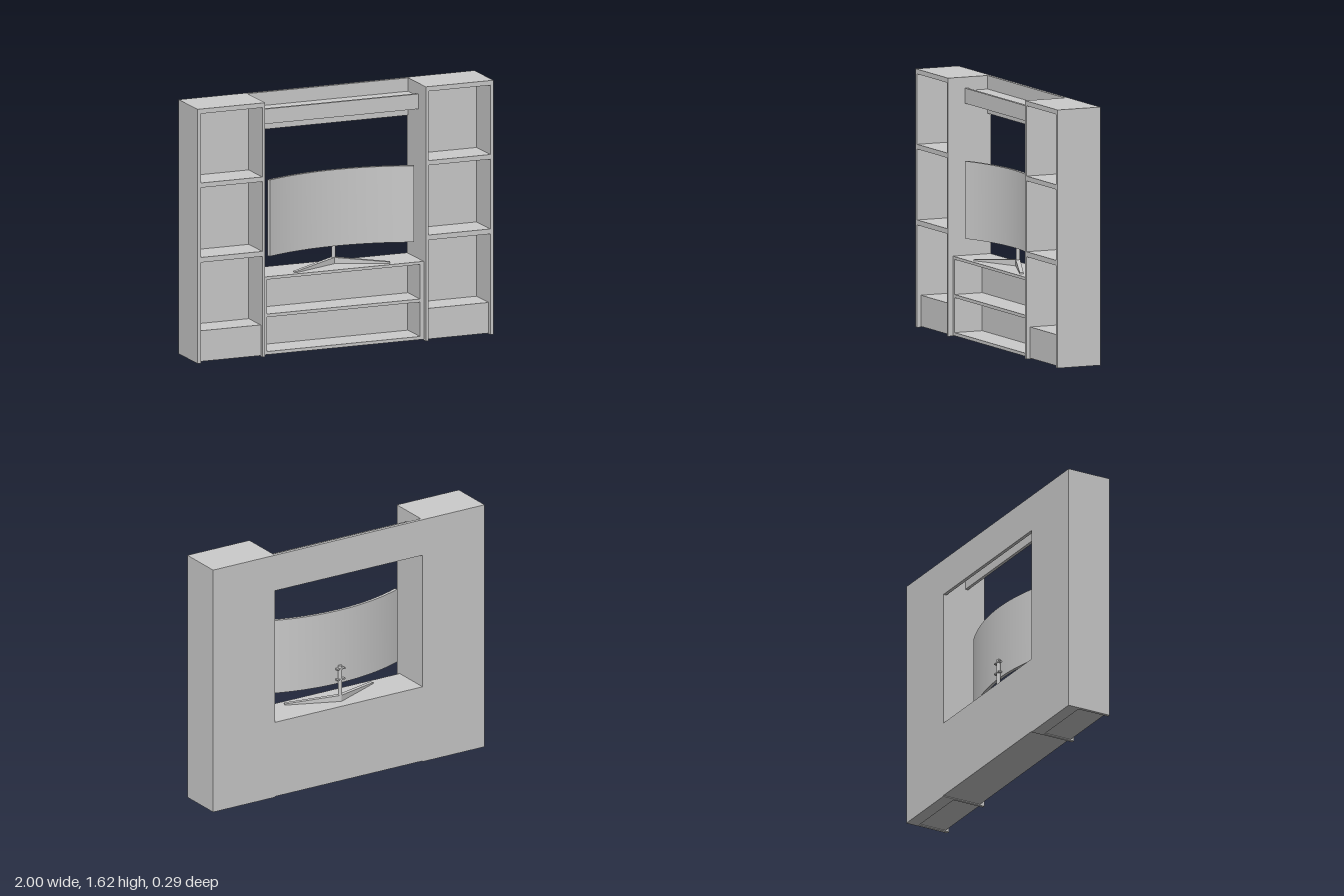
import * as THREE from 'three';
import { toCreasedNormals } from 'three/addons/utils/BufferGeometryUtils.js';

const material = new THREE.MeshStandardMaterial({ color: 0xcccccc });
const BACK = -0.147, FRONT = 0.147, HEIGHT = 1.615;

function add(parent, name, geometry) {
  const mesh = new THREE.Mesh(geometry, material);
  mesh.name = name;
  parent.add(mesh);
  return mesh;
}

// Box given by its limits on each axis
function board(parent, name, x0, x1, y0, y1, z0, z1) {
  const mesh = add(parent, name, new THREE.BoxGeometry(x1 - x0, y1 - y0, z1 - z0));
  mesh.position.set((x0 + x1) / 2, (y0 + y1) / 2, (z0 + z1) / 2);
  return mesh;
}

// Open shelf tower; side is +1 or -1
function createTower(side) {
  const tower = new THREE.Group();
  tower.name = side > 0 ? 'leftTower' : 'rightTower';
  const part = (name, a, b, ...rest) =>
    board(tower, name, Math.min(a * side, b * side), Math.max(a * side, b * side), ...rest);
  const inner = 0.562, outer = 0.979, backFace = -0.065;
  part('outerSide', outer, 1, 0, HEIGHT, BACK, FRONT);
  part('innerSide', 0.543, inner, 0, HEIGHT, BACK, FRONT);
  part('backPanel', inner, outer, 0, HEIGHT, BACK, backFace);
  part('plinth', inner, outer, 0.005, 0.2, backFace, 0.122);
  for (const [y0, y1] of [[0.64, 0.672], [1.115, 1.145], [1.585, HEIGHT]])
    part(y1 === HEIGHT ? 'topBoard' : 'shelf', inner, outer, y0, y1, backFace, FRONT);
  return tower;
}

// Low open cabinet between the towers
function createCabinet() {
  const cabinet = new THREE.Group();
  cabinet.name = 'lowCabinet';
  const front = 0.115, backFace = -0.075, x = 0.518;
  board(cabinet, 'backPanel', -0.543, 0.543, 0.005, 0.5, BACK, backFace);
  board(cabinet, 'rightSide', -0.543, -x, 0.005, 0.5, backFace, front);
  board(cabinet, 'leftSide', x, 0.543, 0.005, 0.5, backFace, front);
  for (const [name, y0, y1] of [['bottomBoard', 0.005, 0.025], ['middleShelf', 0.243, 0.263], ['topBoard', 0.482, 0.5]])
    board(cabinet, name, -x, x, y0, y1, backFace, front);
  return cabinet;
}

// Back panel and lipped shelf spanning the towers
function createBridge() {
  const bridge = new THREE.Group();
  bridge.name = 'bridge';
  board(bridge, 'bridgeBack', -0.543, 0.543, 1.378, HEIGHT, BACK, -0.125);
  board(bridge, 'bridgeShelf', -0.543, 0.543, 1.51, 1.53, -0.125, 0.01);
  board(bridge, 'bridgeLip', -0.543, 0.543, 1.45, 1.545, 0.01, 0.03);
  return bridge;
}

// Tapered bar from the hub to a tip on the cabinet top
function footGeometry(length) {
  const geometry = new THREE.BoxGeometry(length, 1, 1);
  const p = geometry.attributes.position;
  for (let i = 0; i < p.count; i++) {
    const tip = p.getX(i) > 0;
    p.setXYZ(i, tip ? length : 0,
      p.getY(i) > 0 ? (tip ? 0.008 : 0.04) : 0,
      Math.sign(p.getZ(i)) * (tip ? 0.012 : 0.014));
  }
  const flat = geometry.toNonIndexed();
  flat.computeVertexNormals();
  return flat;
}

// Curved screen on a two-legged stand
function createScreen() {
  const screen = new THREE.Group();
  screen.name = 'curvedScreen';
  const radius = 1.238, half = 0.405, thickness = 0.02;
  const outline = new THREE.Shape();
  outline.absarc(0, -radius, radius + thickness, Math.PI / 2 - half, Math.PI / 2 + half, false);
  outline.absarc(0, -radius, radius, Math.PI / 2 + half, Math.PI / 2 - half, true);
  const panel = new THREE.ExtrudeGeometry(outline, { depth: 0.485, bevelEnabled: false, curveSegments: 32 });
  panel.rotateX(-Math.PI / 2);
  add(screen, 'screenPanel', toCreasedNormals(panel, 0.5)).position.set(0.0125, 0.615, -0.035);

  const x = 0.01, z = -0.063;
  add(screen, 'standPole', new THREE.CylinderGeometry(0.013, 0.013, 0.235, 16)).position.set(x, 0.6175, z);
  for (const y of [0.645, 0.715])
    board(screen, 'mountClip', x - 0.03, x + 0.03, y - 0.004, y + 0.004, z - 0.014, z + 0.012);
  for (const [tipX, tipZ] of [[-0.312, 0.075], [0.335, 0.07]]) {
    const dx = tipX - x, dz = tipZ - z;
    const foot = add(screen, 'standFoot', footGeometry(Math.hypot(dx, dz)));
    foot.position.set(x, 0.5, z);
    foot.rotation.y = Math.atan2(-dz, dx);
  }
  return screen;
}

export function createModel() {
  const model = new THREE.Group();
  model.name = 'mediaWallUnit';
  model.add(createTower(1), createTower(-1), createCabinet(), createBridge(), createScreen());
  return model;
}
